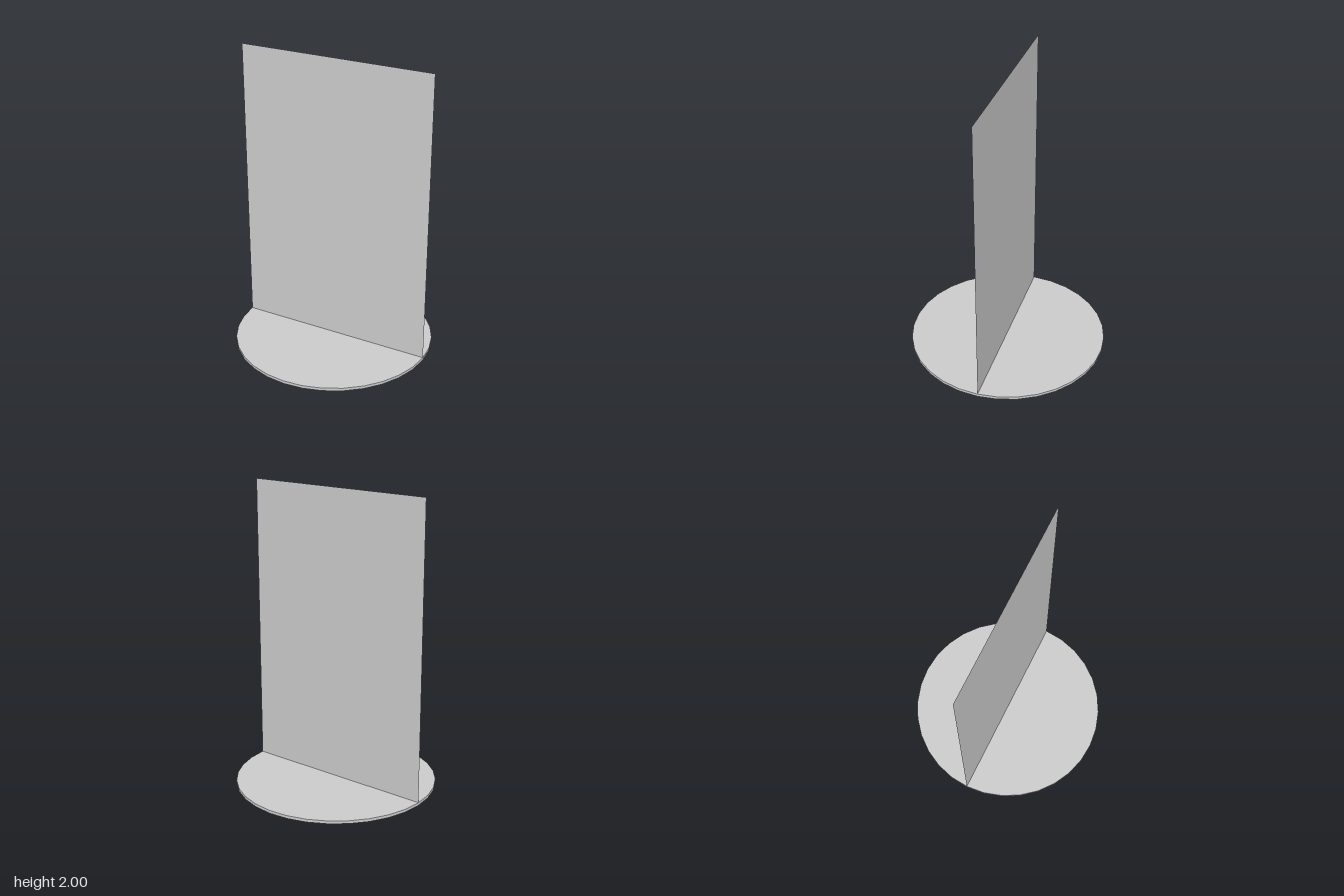
import * as THREE from 'three';

const RADIUS = 0.68;
const BASE_HEIGHT = 0.02;
const HEIGHT = 2;

export function createModel() {
  const group = new THREE.Group();
  group.name = 'standee';

  // Thin round base
  const base = new THREE.Mesh(
    new THREE.CylinderGeometry(RADIUS, RADIUS, BASE_HEIGHT, 32),
    new THREE.MeshStandardMaterial({ color: 0xcccccc, flatShading: true })
  );
  base.name = 'base';
  base.position.y = BASE_HEIGHT / 2;

  // Upright flat panel across the middle of the base, seen from both sides
  const panelHeight = HEIGHT - BASE_HEIGHT;
  const panel = new THREE.Mesh(
    new THREE.PlaneGeometry(RADIUS * 2, panelHeight),
    new THREE.MeshStandardMaterial({ color: 0xcccccc, side: THREE.DoubleSide })
  );
  panel.name = 'panel';
  panel.position.y = BASE_HEIGHT + panelHeight / 2;

  group.add(base, panel);
  return group;
}
